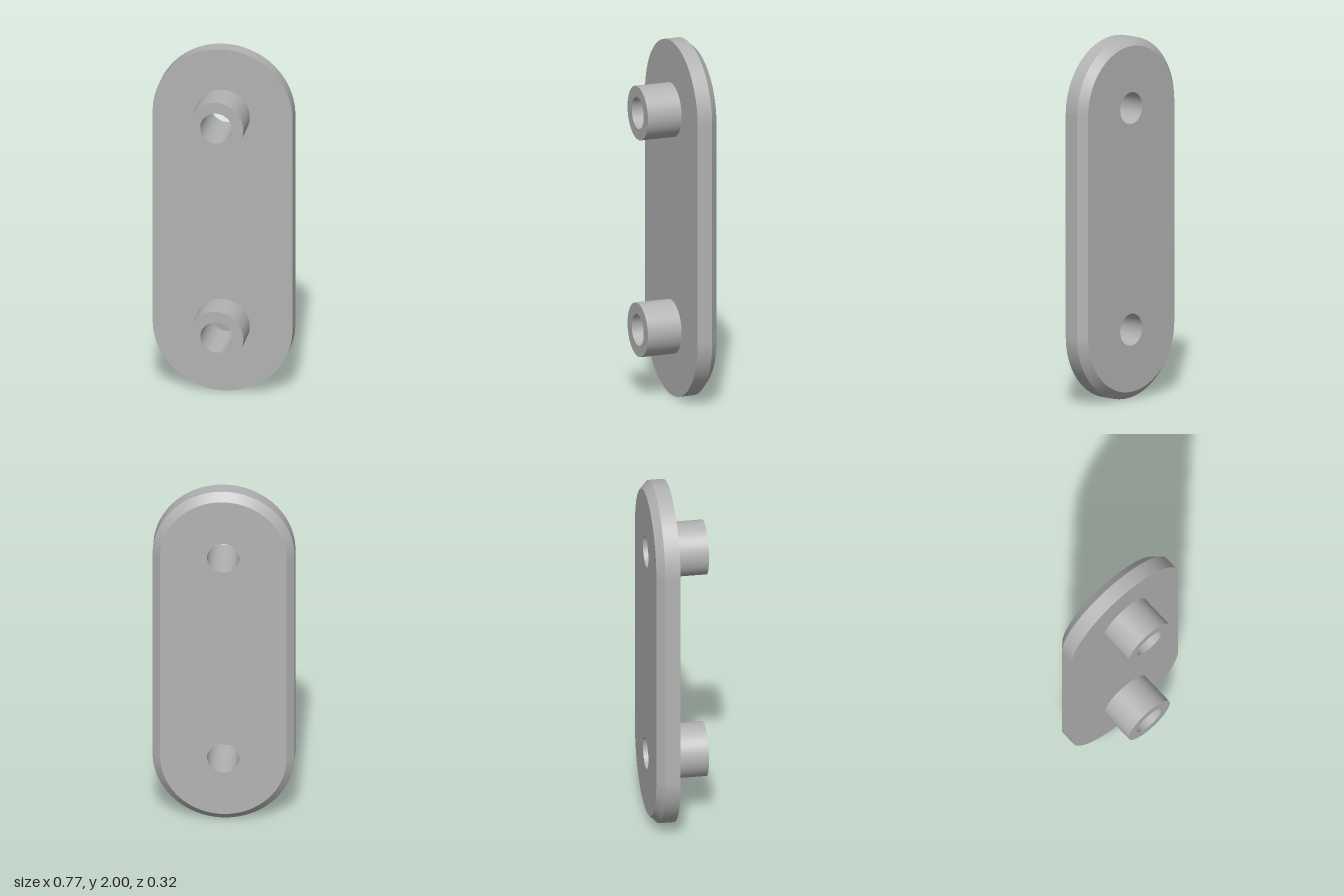
import * as THREE from 'three';
import { mergeGeometries } from 'three/addons/utils/BufferGeometryUtils.js';

const ARC = 48; // segments per half circle
const HALF = 0.613; // distance from plate centre to each boss axis
const R = 0.387, R_BACK = 0.344, BOSS_R = 0.15, BORE_R = 0.088;
const Z_BACK = -0.162, Z_CHAMFER = -0.12, Z_PLATE = -0.035, Z_BOSS = 0.162;

// Directions around a stadium; half = 0 gives a plain circle.
function outline(half) {
  const list = [];
  for (const side of [0, 1]) {
    const count = half > 0 ? ARC + 1 : ARC;
    for (let i = 0; i < count; i++) {
      const a = Math.PI * (side + i / ARC);
      list.push({ c: Math.cos(a), s: Math.sin(a), y: side ? -half : half });
    }
  }
  return list;
}

const ring = (half, r, cy = 0) =>
  outline(half).map(({ c, s, y }) => new THREE.Vector2(r * c, cy + y + r * s));

// One wall swept round the outline, smooth along it and sharp at its edges.
function band(half, [r0, z0], [r1, z1]) {
  const pos = [], nor = [], index = [];
  const n = new THREE.Vector2(z1 - z0, r0 - r1).normalize();
  const dirs = outline(half);
  dirs.forEach(({ c, s, y }, i) => {
    pos.push(r0 * c, y + r0 * s, z0, r1 * c, y + r1 * s, z1);
    for (let k = 0; k < 2; k++) nor.push(n.x * c, n.x * s, n.y);
    const a = 2 * i, b = 2 * ((i + 1) % dirs.length);
    index.push(a, b, a + 1, b, b + 1, a + 1);
  });
  const g = new THREE.BufferGeometry();
  g.setAttribute('position', new THREE.Float32BufferAttribute(pos, 3));
  g.setAttribute('normal', new THREE.Float32BufferAttribute(nor, 3));
  g.setIndex(index);
  return g;
}

const sweep = (half, profile) =>
  mergeGeometries(profile.slice(1).map((p, i) => band(half, profile[i], p)));

// Flat stadium face with two round openings.
function face(r, holeR) {
  const shape = new THREE.Shape(ring(HALF, r));
  for (const cy of [-HALF, HALF]) shape.holes.push(new THREE.Path(ring(0, holeR, cy)));
  return new THREE.ShapeGeometry(shape);
}

export function createModel() {
  const model = new THREE.Group();
  model.name = 'mountingPlate';
  const grey = new THREE.MeshStandardMaterial({ color: 0xb3b3b3 });
  grey.name = 'grey';

  const add = (name, geometry, y = 1) => {
    const mesh = new THREE.Mesh(geometry, grey);
    mesh.name = name;
    mesh.position.y = y;
    model.add(mesh);
  };

  // Plate: straight rim with a chamfer towards the back
  add('plateRim', sweep(HALF, [[R_BACK, Z_BACK], [R, Z_CHAMFER], [R, Z_PLATE]]));
  add('plateFront', face(R, BOSS_R).translate(0, 0, Z_PLATE));
  add('plateBack', face(R_BACK, BORE_R).rotateY(Math.PI).translate(0, 0, Z_BACK));

  // Tubular bosses with bores running through the plate
  const boss = sweep(0, [[BOSS_R, Z_PLATE], [BOSS_R, Z_BOSS], [BORE_R, Z_BOSS], [BORE_R, Z_BACK]]);
  add('lowerBoss', boss, 1 - HALF);
  add('upperBoss', boss, 1 + HALF);
  return model;
}
